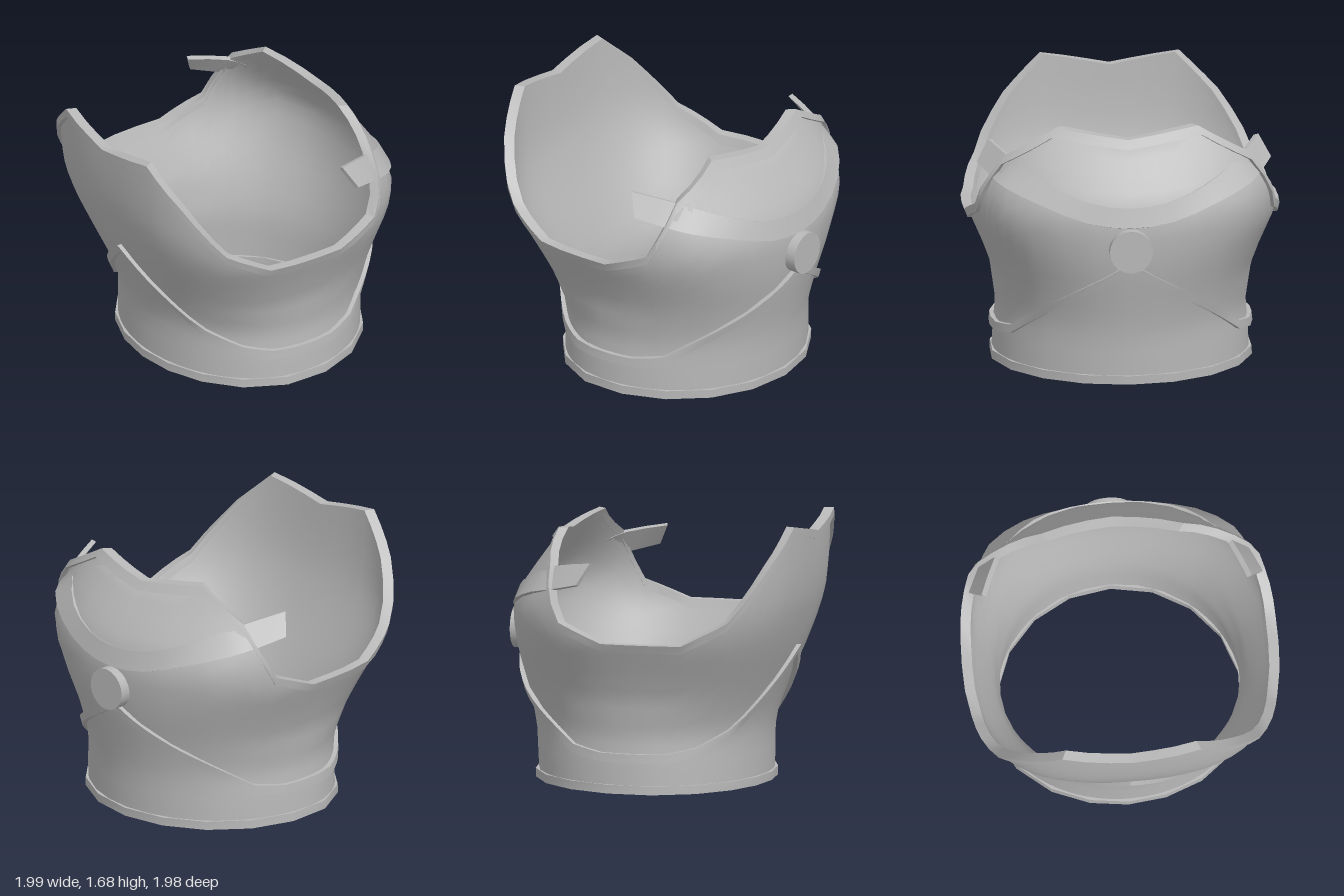
import * as THREE from 'three';
import { toCreasedNormals } from 'three/addons/utils/BufferGeometryUtils.js';

const rad = THREE.MathUtils.degToRad;

// Linear lookup in a table of [key, value] pairs
function lookup(table, k) {
  if (k <= table[0][0]) return table[0][1];
  for (let i = 1; i < table.length; i++) {
    const [k0, v0] = table[i - 1], [k1, v1] = table[i];
    if (k <= k1) return v0 + (v1 - v0) * (k - k0) / (k1 - k0);
  }
  return table[table.length - 1][1];
}

// Body outline by height: half width, front depth, back depth, roundness exponents
const WIDTH = [[0, 0.81], [0.2, 0.8], [0.35, 0.785], [0.6, 0.82], [0.75, 0.875], [0.97, 0.97], [1.2, 1]];
const FRONT = [[0, 0.665], [0.3, 0.67], [0.42, 0.69], [0.6, 0.75], [0.87, 0.85], [1.05, 0.905], [1.2, 0.94], [1.4, 0.96], [1.68, 0.97]];
const BACK = [[0, 0.8], [0.3, 0.815], [0.45, 0.84], [0.65, 0.885], [0.8, 0.915], [0.95, 0.93], [1.1, 0.93], [1.17, 0.91],
  [1.3, 0.835], [1.4, 0.76], [1.5, 0.685], [1.62, 0.6]];
const FRONT_POWER = [[0.4, 2], [1.1, 2.9]];
const BACK_POWER = [[0.4, 2], [1.1, 2.4], [1.5, 2.1]];

// Heights by angle in degrees, from the front (0) to the back (180)
const NECK_EDGE = [[0, 1.6], [24.4, 1.68], [37.9, 1.45], [53.2, 1.12], [68.6, 0.975], [98, 0.975],
  [114.4, 1.09], [125, 1.43], [142, 1.61], [180, 1.55]];
const WAIST_EDGE = [[0, 0.87], [15, 0.69], [34, 0.46], [42, 0.385], [60, 0.29], [74, 0.255], [104, 0.255],
  [119, 0.29], [136, 0.43], [153, 0.57], [170, 0.72], [180, 0.82]];
const HEM_EDGE = [[0, 0.055], [60, 0.055], [120, 0.055], [180, 0.055]];

// Point on the body at an angle and height, pushed outward by an offset
function bodyPoint(deg, y, offset) {
  const s = Math.sin(rad(deg)), c = Math.cos(rad(deg));
  const depth = lookup(c > 0 ? FRONT : BACK, y);
  const n = lookup(c > 0 ? FRONT_POWER : BACK_POWER, y);
  const r = (Math.abs(s / lookup(WIDTH, y)) ** n + Math.abs(c / depth) ** n) ** (-1 / n) + offset;
  return new THREE.Vector3(s * r, y, c * r);
}

// Skin over a row of equal closed sections
function loft(rings, closed, crease) {
  const m = rings[0].length, count = rings.length, index = [];
  for (let i = 0; i < (closed ? count : count - 1); i++) {
    for (let j = 0; j < m; j++) {
      const a = i * m + j, d = i * m + (j + 1) % m;
      const next = ((i + 1) % count) * m;
      const b = next + j, c = next + (j + 1) % m;
      index.push(a, b, c, a, c, d);
    }
  }
  if (!closed) {
    const e = (count - 1) * m;
    for (let j = 1; j < m - 1; j++) index.push(0, j, j + 1, e, e + j + 1, e + j);
  }
  const geometry = new THREE.BufferGeometry().setFromPoints(rings.flat());
  geometry.setIndex(index);
  return toCreasedNormals(geometry, crease);
}

// Angles all the way round, passing through every corner of an edge table
function anglesOf(table, steps) {
  const half = [];
  for (let i = 1; i < table.length; i++) {
    for (let k = 0; k < steps; k++) {
      half.push(table[i - 1][0] + (table[i][0] - table[i - 1][0]) * k / steps);
    }
  }
  return [...half, 180, ...half.slice(1).reverse().map((a) => 360 - a)];
}
const heightAt = (table, deg) => lookup(table, deg > 180 ? 360 - deg : deg);

// Raised band hanging just below an edge line
function band(table, height, out, inner) {
  const rings = anglesOf(table, 3).map((deg) => {
    const top = heightAt(table, deg), low = top - height;
    return [[low, out], [top, out], [top, inner], [low, inner]].map(([y, o]) => bodyPoint(deg, y, o));
  });
  return loft(rings, true, 0.7);
}

// Thick wall of the body, from the hem to the neck edge
function shell() {
  const levels = 16;
  const rings = anglesOf(NECK_EDGE, 3).map((deg) => {
    const top = heightAt(NECK_EDGE, deg) - 0.02;
    const outer = [], inner = [];
    for (let i = 0; i <= levels; i++) {
      const y = 0.01 + (top - 0.01) * i / levels;
      outer.push(bodyPoint(deg, y, 0));
      inner.unshift(bodyPoint(deg, y, -0.035));
    }
    return [...outer, ...inner];
  });
  return loft(rings, true, 0.95);
}

// Tilted strap round the upper back, with free ends over the shoulders
function strap() {
  const curve = (half) => new THREE.CatmullRomCurve3([
    ...half.slice(1).reverse().map(([x, y, z]) => new THREE.Vector3(x, y, z)),
    ...half.map(([x, y, z]) => new THREE.Vector3(-x, y, z)),
  ]);
  const upper = curve([[0, 1.17, -0.915], [0.25, 1.2, -0.885], [0.48, 1.28, -0.79],
    [0.66, 1.37, -0.62], [0.75, 1.42, -0.5], [0.85, 1.46, -0.25]]);
  const lower = curve([[0, 1.05, -0.95], [0.27, 1.08, -0.92], [0.54, 1.17, -0.83],
    [0.77, 1.25, -0.66], [0.85, 1.285, -0.5], [0.925, 1.33, -0.32]]);
  const rings = [];
  for (let i = 0; i <= 20; i++) {
    const top = upper.getPoint(i / 20), low = lower.getPoint(i / 20);
    const inward = (p) => {
      const k = 1 - 0.03 / Math.hypot(p.x, p.z);
      return new THREE.Vector3(p.x * k, p.y - 0.01, p.z * k);
    };
    rings.push([low, top, inward(top), inward(low)]);
  }
  return loft(rings, false, 0.6);
}

export function createModel() {
  const steel = new THREE.MeshStandardMaterial({ color: 0xb8b8b8 });
  steel.name = 'steel grey';
  const group = new THREE.Group();
  group.name = 'breastplate';
  const add = (name, geometry) => {
    const mesh = new THREE.Mesh(geometry, steel);
    mesh.name = name;
    group.add(mesh);
    return mesh;
  };

  add('bodyShell', shell());
  add('neckRim', band(NECK_EDGE, 0.055, 0.025, -0.04));
  add('waistTrim', band(WAIST_EDGE, 0.055, 0.028, -0.015));
  add('hemTrim', band(HEM_EDGE, 0.055, 0.02, -0.042));
  add('shoulderStrap', strap());

  // Round boss where the strap and trim meet at the back
  const boss = add('backBoss', new THREE.CylinderGeometry(0.136, 0.136, 0.09, 20));
  boss.rotation.x = Math.PI / 2;
  boss.position.set(0, 0.905, -0.943);

  return group;
}
